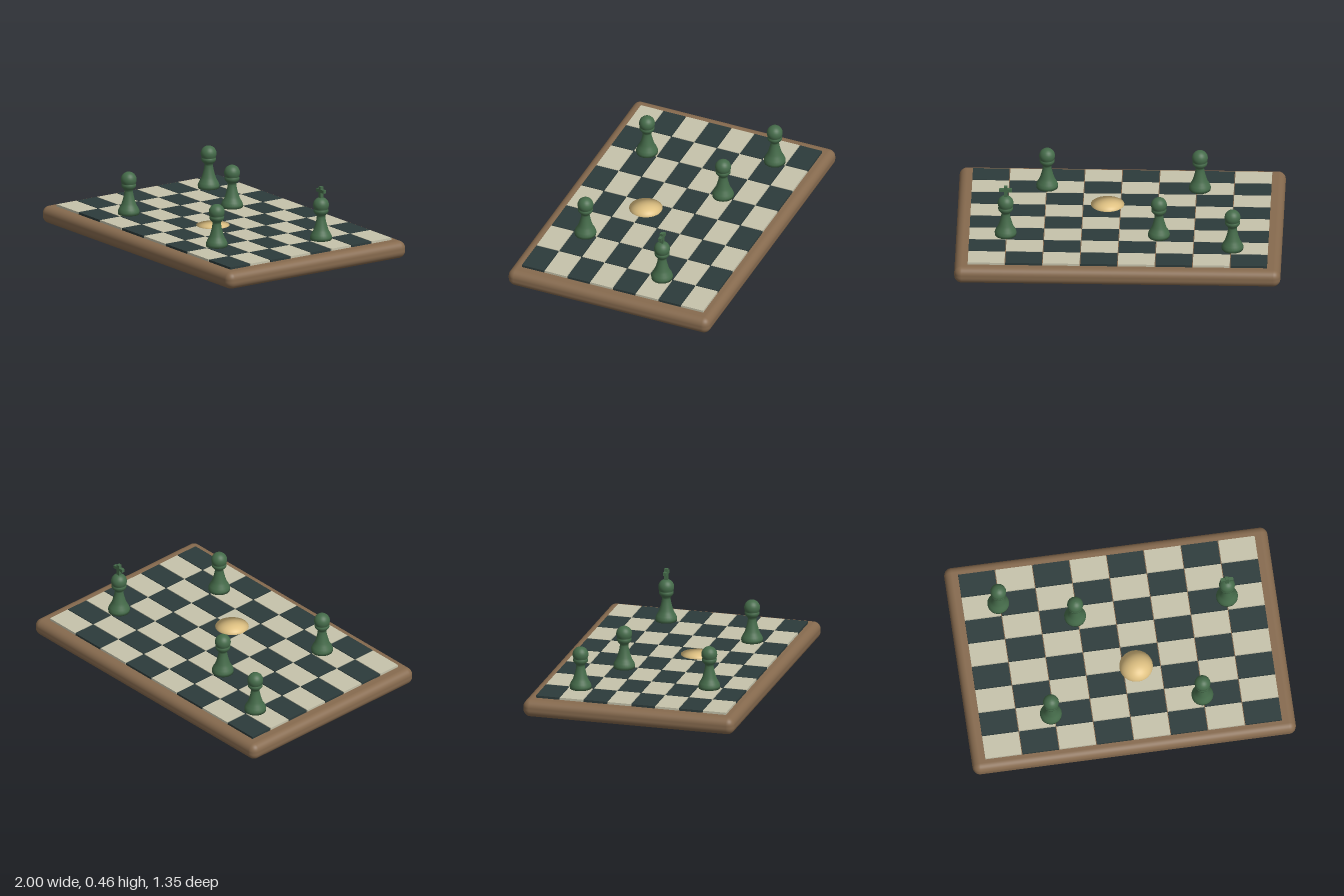
import * as THREE from 'three';
import { RoundedBoxGeometry } from 'three/addons/geometries/RoundedBoxGeometry.js';

function material(name, color) {
  const m = new THREE.MeshStandardMaterial({ color });
  m.name = name;
  return m;
}

function add(parent, name, geometry, mat, x = 0, y = 0, z = 0) {
  const mesh = new THREE.Mesh(geometry, mat);
  mesh.name = name;
  mesh.position.set(x, y, z);
  parent.add(mesh);
  return mesh;
}

// Turned profile: wide foot, tapering stem, collar and round head
function pieceGeometry() {
  const pts = [
    [0, 0], [0.066, 0], [0.067, 0.018], [0.06, 0.036], [0.049, 0.054], [0.043, 0.07],
    [0.037, 0.09], [0.03, 0.118], [0.026, 0.142], [0.027, 0.152], [0.036, 0.162],
    [0.045, 0.174], [0.046, 0.186], [0.042, 0.19],
  ].map(([r, y]) => new THREE.Vector2(r, y));
  const radius = 0.049, centre = 0.217;
  for (let i = 0; i <= 10; i++) {
    const a = -0.5 + (i / 10) * (Math.PI / 2 + 0.5);
    pts.push(new THREE.Vector2(Math.max(0, radius * Math.cos(a)), centre + radius * Math.sin(a)));
  }
  return new THREE.LatheGeometry(pts, 32);
}

export function createModel() {
  const model = new THREE.Group();
  model.name = 'chessSet';
  const wood = material('wood', 0x866a4e);
  const light = material('ivory', 0xc6c3ab);
  const dark = material('darkSlate', 0x2c3b3b);
  const green = material('green', 0x456b4a);
  const gold = material('gold', 0xe0c283);

  // Board with rounded edges
  add(model, 'board', new RoundedBoxGeometry(2, 0.108, 1.346, 5, 0.046), wood, 0, 0.054, 0);

  // Eight by eight tiles with fine gaps
  const stepX = 0.23, stepZ = 0.152;
  const tileGeo = new THREE.BoxGeometry(stepX - 0.005, 0.016, stepZ - 0.005);
  const tiles = new THREE.Group();
  tiles.name = 'tiles';
  model.add(tiles);
  for (let row = 0; row < 8; row++) {
    for (let col = 0; col < 8; col++) {
      const isDark = (row + col) % 2 === 0;
      add(tiles, isDark ? 'darkTile' : 'lightTile', tileGeo, isDark ? dark : light,
        (col - 3.5) * stepX, 0.114, (row - 3.5) * stepZ);
    }
  }

  // Pieces; the king carries a cross
  const pieceGeo = pieceGeometry();
  const places = [
    ['pawn', -0.7, -0.383], ['pawn', -0.245, -0.235], ['king', 0.695, -0.235],
    ['pawn', -0.48, 0.375], ['pawn', 0.457, 0.38],
  ];
  for (const [name, x, z] of places) {
    const piece = new THREE.Group();
    piece.name = name;
    piece.position.set(x, 0.122, z);
    model.add(piece);
    add(piece, 'body', pieceGeo, green);
    if (name === 'king') {
      add(piece, 'crossPost', new THREE.BoxGeometry(0.022, 0.08, 0.022), green, 0, 0.294, 0);
      add(piece, 'crossArm', new THREE.BoxGeometry(0.078, 0.02, 0.02), green, 0, 0.307, 0);
    }
  }

  // Thin round token: flattened ball that keeps its round shading
  const token = new THREE.SphereGeometry(0.103, 40, 20);
  const pos = token.attributes.position;
  for (let i = 0; i < pos.count; i++) pos.setY(i, pos.getY(i) * 0.05);
  add(model, 'token', token, gold, 0.08, 0.137, 0.14);

  return model;
}
